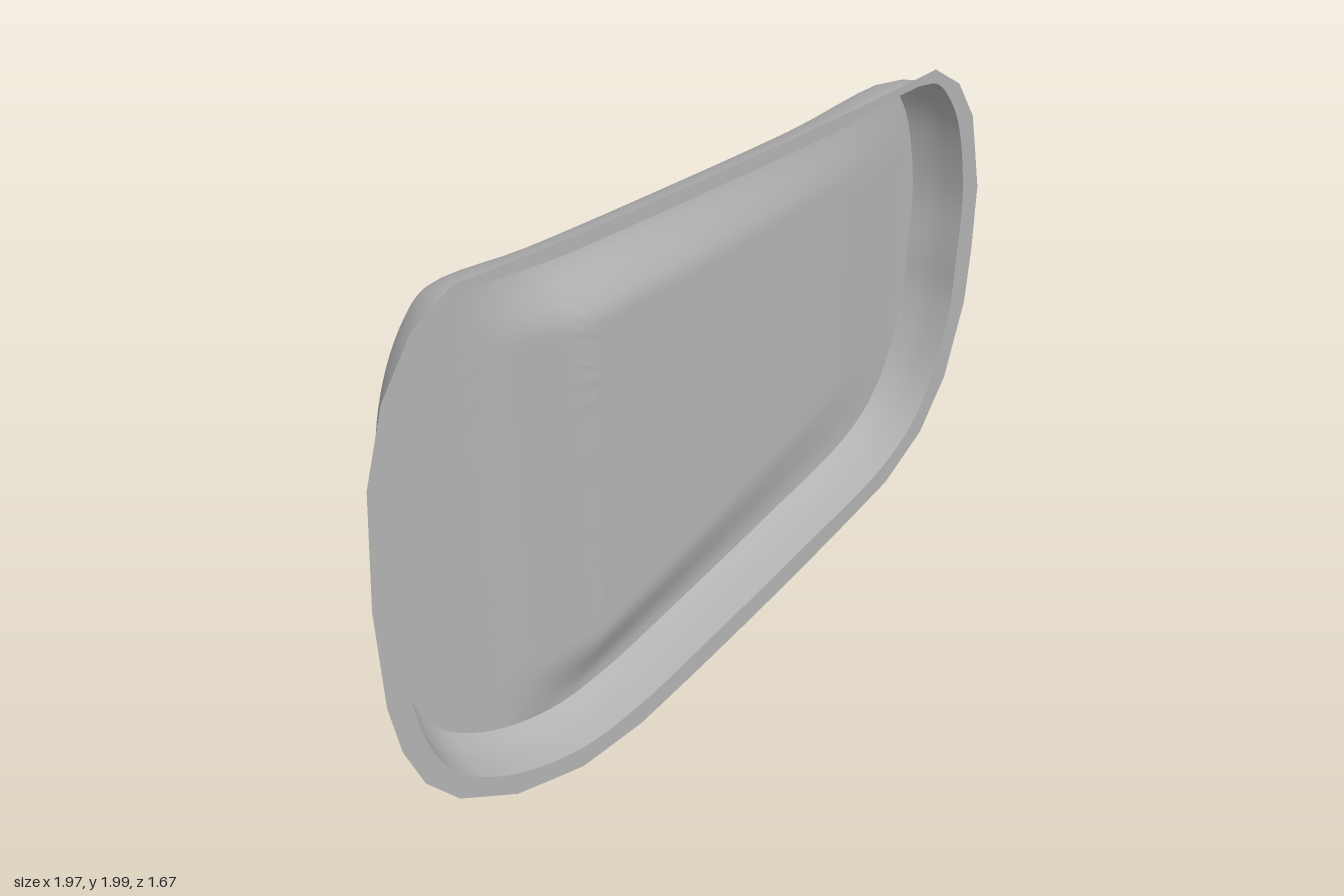
import * as THREE from 'three';

const STEPS = 5; // samples per outline segment

// Outline seen from the front, counter-clockwise from the top left
const outline = [
  [-0.68, 1.98], [-0.79, 1.89], [-0.88, 1.71], [-0.94, 1.46], [-0.968, 1.05], [-0.965, 0.68],
  [-0.94, 0.48], [-0.89, 0.31], [-0.80, 0.17], [-0.63, 0.05], [-0.42, 0], [-0.22, 0.035],
  [0.08, 0.156], [0.4, 0.284], [0.70, 0.405], [0.84, 0.53], [0.93, 0.71], [0.99, 0.99],
  [1, 1.2], [1, 1.45], [0.95, 1.74], [0.88, 1.89], [0.78, 1.985], [0.4, 1.985], [0.0, 1.985], [-0.4, 1.98],
].map(([x, y]) => new THREE.Vector2(x * 1.3, y)); // unrolled width

// Moves the outline inwards; the top edge uses its own distance
function inset(side, top) {
  const n = outline.length;
  return outline.map((p, i) => {
    const t = outline[(i + 1) % n].clone().sub(outline[(i + n - 1) % n]).normalize();
    const d = THREE.MathUtils.lerp(side, top, Math.max(0, -t.x));
    return new THREE.Vector2(p.x - t.y * d, p.y + t.x * d);
  });
}

function sampleLoop(points, smooth) {
  const n = points.length, out = [];
  const curve = new THREE.CatmullRomCurve3(points.map(p => new THREE.Vector3(p.x, p.y, 0)), true);
  for (let i = 0; i < n * STEPS; i++) {
    const k = Math.floor(i / STEPS), f = (i % STEPS) / STEPS;
    const v = smooth ? curve.getPoint(i / (n * STEPS)) : points[k].clone().lerp(points[(k + 1) % n], f);
    out.push([v.x, v.y]);
  }
  return out;
}

// Rolls the flat layout onto the gently curved upright sheet
function place([s, y], depth) {
  const x = s / 1.3;
  const nx = 0.835 + 0.16 * x, len = Math.hypot(nx, 1);
  return [x - nx / len * depth, y, 0.11 - 0.835 * x - 0.08 * x * x - depth / len];
}

// Joins closed rings, outermost first
function skin(name, rings, material) {
  const n = rings[0].length, index = [];
  for (let r = 0; r < rings.length - 1; r++) {
    for (let i = 0; i < n; i++) {
      const j = (i + 1) % n, a = r * n + i, b = r * n + j, c = a + n, d = b + n;
      index.push(a, b, c, b, d, c);
    }
  }
  const g = new THREE.BufferGeometry();
  g.setAttribute('position', new THREE.Float32BufferAttribute(rings.flat(2), 3));
  g.setIndex(index);
  g.computeVertexNormals();
  const mesh = new THREE.Mesh(g, material);
  mesh.name = name;
  return mesh;
}

// Depth of the floor: a raised field, steep on its left and sinking to the right
function floorDepth([s, y]) {
  const { clamp, smoothstep } = THREE.MathUtils;
  const x = s / 1.3;
  const ramp = clamp((x + 0.58) / 0.28, 0, 1) ** 1.3;
  const fall = clamp((0.86 - x) / 1.16, 0, 1);
  const bottom = smoothstep(y - (0.26 + 0.4 * x), 0.02, 0.32);
  const top = smoothstep(1.88 - y, 0.02, 0.26);
  return 0.17 - 0.1 * ramp * Math.min(fall, 1) * bottom * top;
}

export function createModel() {
  const group = new THREE.Group();
  const grey = new THREE.MeshStandardMaterial({ color: 0xb2b2b2, side: THREE.DoubleSide });
  grey.name = 'plain grey';

  const ring = (side, top, depth) => sampleLoop(inset(side, top), true).map(p => place(p, depth));

  // Thin angular flange around the opening
  const edge = sampleLoop(outline, false).map(p => place(p, 0));
  group.add(skin('flange', [edge, ring(0.085, 0.045, 0)], grey));

  // Side wall, leaning inwards towards the back
  group.add(skin('sideWall', [
    ring(0.085, 0.045, 0), ring(0.095, 0.053, 0.06),
    ring(0.11, 0.068, 0.12), ring(0.138, 0.093, 0.17),
  ], grey));

  // Moulded floor
  const rim = sampleLoop(inset(0.138, 0.093), true);
  const rings = [], count = 32;
  for (let k = 0; k <= count; k++) {
    const r = 1 - k / count;
    rings.push(rim.map(([s, y]) => {
      const p = [0.1 + (s - 0.1) * r, 1.1 + (y - 1.1) * r];
      return place(p, k === 0 ? 0.17 : floorDepth(p));
    }));
  }
  group.add(skin('mouldedFloor', rings, grey));

  return group;
}
